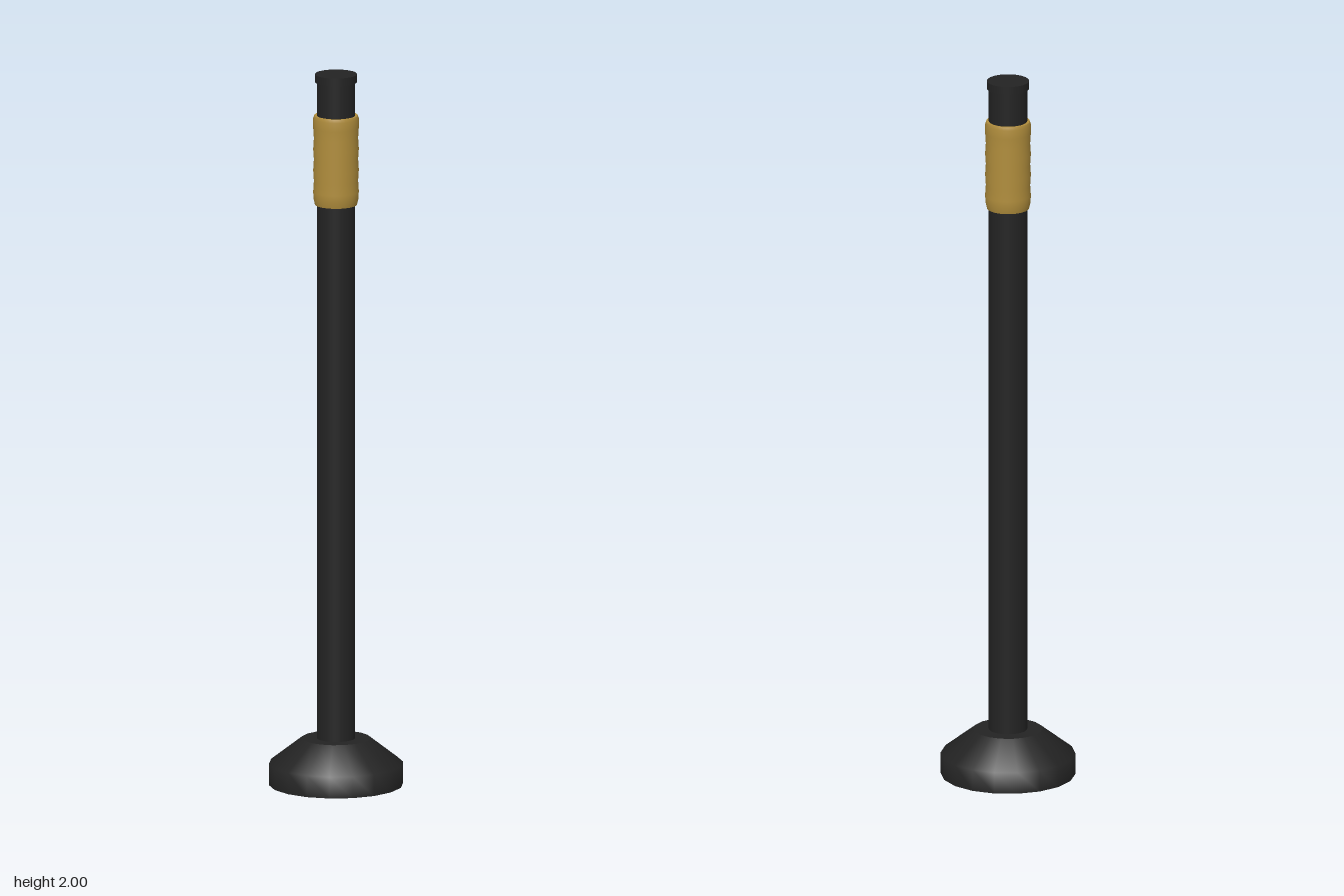
import * as THREE from 'three';

export function createModel() {
  const group = new THREE.Group();
  const black = new THREE.MeshStandardMaterial({ color: 0x232323 });
  black.name = 'matte black';
  const gold = new THREE.MeshStandardMaterial({ color: 0xb08d3c });
  gold.name = 'brass gold';

  // Turned part from [radius, height] pairs; a repeated pair makes a sharp edge
  const turned = (name, profile, sides, material) => {
    const points = profile.map(([r, y]) => new THREE.Vector2(r, y));
    const mesh = new THREE.Mesh(new THREE.LatheGeometry(points, sides), material);
    mesh.name = name;
    group.add(mesh);
  };

  // Weighted foot with a sloping shoulder
  turned('base', [
    [0, 0], [0.185, 0], [0.185, 0], [0.185, 0.06],
    [0.095, 0.13], [0.095, 0.13], [0, 0.13],
  ], 18, black);

  // Straight post
  const post = new THREE.Mesh(new THREE.CylinderGeometry(0.053, 0.053, 1.87, 32), black);
  post.name = 'post';
  post.position.y = 1.055;
  group.add(post);

  // Gold collar with shallow ripples
  turned('collar', [
    [0.05, 1.633], [0.058, 1.633], [0.058, 1.633], [0.062, 1.65],
    [0.063, 1.67], [0.061, 1.70], [0.063, 1.73], [0.061, 1.76],
    [0.063, 1.79], [0.061, 1.82], [0.063, 1.85], [0.063, 1.875],
    [0.06, 1.884], [0.06, 1.884], [0.05, 1.884],
  ], 36, gold);

  // Flat lid on the post
  const cap = new THREE.Mesh(new THREE.CylinderGeometry(0.058, 0.058, 0.022, 32), black);
  cap.name = 'cap';
  cap.position.y = 1.989;
  group.add(cap);

  return group;
}
